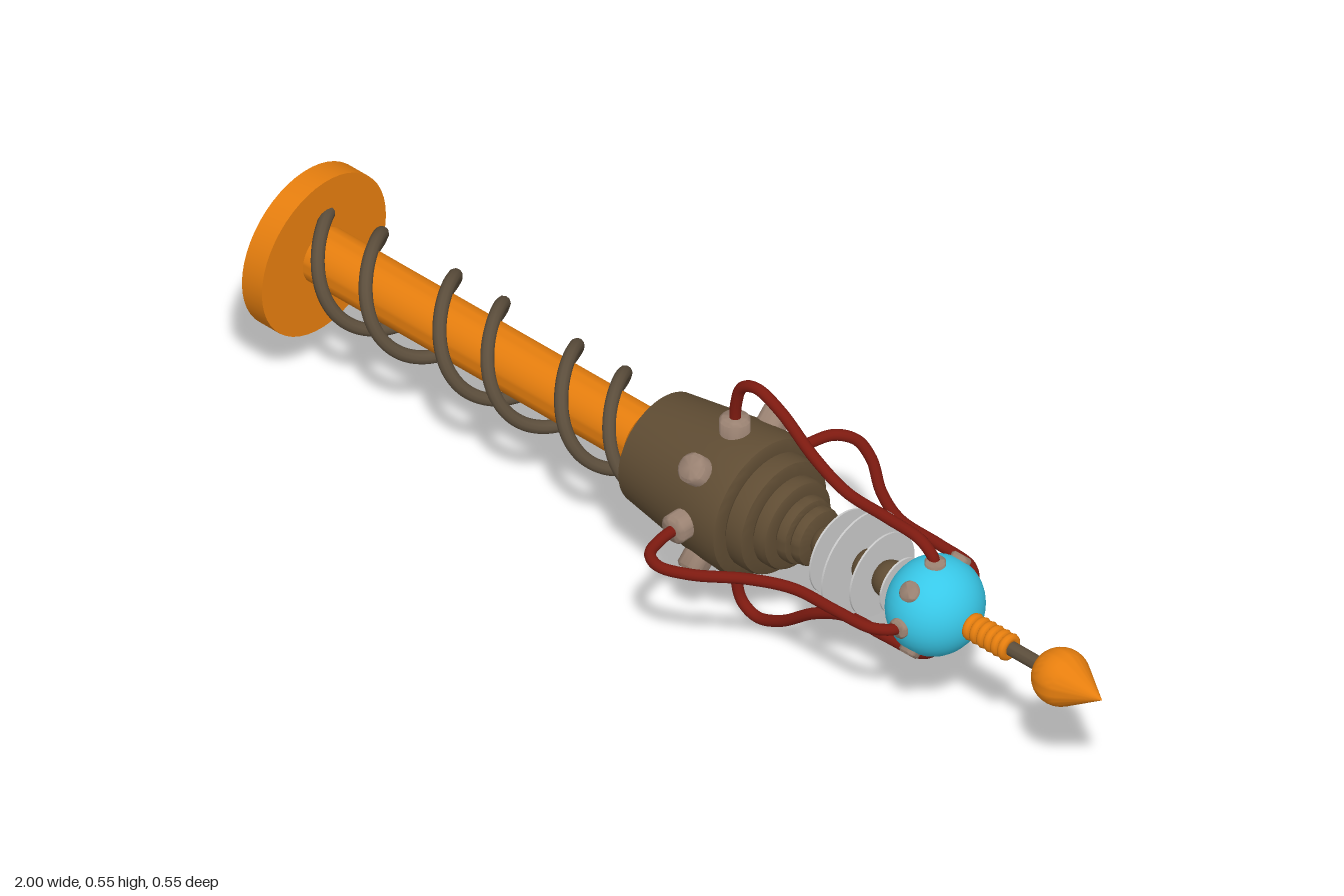
import * as THREE from 'three';
import { toCreasedNormals } from 'three/addons/utils/BufferGeometryUtils.js';

const mat = (color) => new THREE.MeshStandardMaterial({ color });
const ORANGE = mat(0xe67e0e), BROWN = mat(0x5f4c33), COIL = mat(0x5c4e3c);
const STUD = mat(0x9a8272), CYAN = mat(0x38c8e8), RED = mat(0x7d1a10), GREY = mat(0xcccccc);

export function createModel() {
  const model = new THREE.Group();
  // Everything is built along local y, which lies along the model's +x
  const axis = new THREE.Group();
  axis.name = 'wand';
  axis.rotation.z = -Math.PI / 2;
  axis.position.y = 0.277;
  model.add(axis);

  const add = (name, geometry, material, parent = axis) => {
    const mesh = new THREE.Mesh(geometry, material);
    mesh.name = name;
    parent.add(mesh);
    return mesh;
  };
  // Turned part from [radius, station] pairs
  const turned = (name, profile, material, crease = 0.5) => {
    const pts = profile.map(([r, s]) => new THREE.Vector2(r, s));
    return add(name, toCreasedNormals(new THREE.LatheGeometry(pts, 48), crease), material);
  };
  const rod = (name, r, from, to, material) =>
    turned(name, [[0, from], [r, from], [r, to], [0, to]], material);

  // Handle: pommel disc, shaft and collar
  rod('pommelDisc', 0.165, -1, -0.95, ORANGE);
  rod('shaft', 0.056, -0.95, -0.1, ORANGE);
  turned('collar', [[0, -0.142], [0.062, -0.142], [0.074, -0.13], [0.08, -0.105], [0, -0.1]], ORANGE);

  // Two coils wound the same way round the shaft
  const pitch = 0.305, coilRadius = 0.087;
  for (const start of [-0.945, -0.825]) {
    const points = [];
    for (let i = 0; i <= 80; i++) {
      const s = -0.955 + (0.855 * i) / 80;
      const t = ((s - start) / pitch) * Math.PI * 2;
      points.push(new THREE.Vector3(-Math.cos(t) * coilRadius, s, Math.sin(t) * coilRadius));
    }
    add('coil', new THREE.TubeGeometry(new THREE.CatmullRomCurve3(points), 200, 0.013, 10), COIL);
  }

  // Housing tapering forward in rounded steps
  const housing = [[0, -0.107], [0.112, -0.107], [0.137, 0.06], [0.142, 0.145], [0.138, 0.156], [0.13, 0.16]];
  for (const [r, end] of [[0.116, 0.205], [0.09, 0.24], [0.067, 0.268], [0.058, 0.295]]) {
    const begin = housing[housing.length - 1][1];
    housing.push([r - 0.006, begin], [r, begin + 0.006], [r, end - 0.01], [r - 0.003, end - 0.003], [r - 0.01, end]);
  }
  housing.push([0, 0.295]);
  turned('housing', housing, BROWN, 0.7);

  // Beaded insulator with thin discs
  rod('insulatorCore', 0.022, 0.28, 0.52, BROWN);
  for (const s of [0.32, 0.372, 0.422, 0.472]) {
    add('insulatorBead', new THREE.SphereGeometry(0.037, 24, 16), BROWN).position.y = s;
  }
  for (const [s, r] of [[0.347, 0.085], [0.397, 0.106], [0.448, 0.085], [0.496, 0.056]]) {
    rod('insulatorDisc', r, s - 0.002, s + 0.002, GREY);
  }

  // Energy bulb
  const bulb = add('bulb', new THREE.SphereGeometry(0.096, 32, 24), CYAN);
  bulb.position.y = 0.582;
  bulb.scale.y = 0.93;

  // Rings of eight radial studs on the housing and the bulb
  const studRing = (name, station, r, inner, outer) => {
    const b = r * 0.2;
    const profile = [[0, inner], [r, inner], [r, outer - b], [r - b, outer], [0, outer]]
      .map(([x, y]) => new THREE.Vector2(x, y));
    const geometry = toCreasedNormals(new THREE.LatheGeometry(profile, 20), 0.9);
    for (let i = 0; i < 8; i++) {
      const holder = new THREE.Group();
      holder.rotation.y = (i * Math.PI) / 4;
      holder.position.y = station;
      axis.add(holder);
      add(name, geometry, STUD, holder).rotation.z = -Math.PI / 2;
    }
  };
  studRing('housingStud', 0.08, 0.029, 0.11, 0.169);
  studRing('bulbStud', 0.582, 0.02, 0.07, 0.104);

  // Four cables bowing from housing studs to bulb studs
  const path = [[0.08, 0.15], [0.083, 0.2], [0.098, 0.245], [0.135, 0.262], [0.195, 0.24], [0.28, 0.178],
    [0.36, 0.142], [0.46, 0.137], [0.545, 0.13], [0.577, 0.106], [0.582, 0.085]];
  const cablePath = new THREE.CatmullRomCurve3(path.map(([s, r]) => new THREE.Vector3(r, s, 0)));
  const cable = new THREE.TubeGeometry(cablePath, 80, 0.011, 12);
  for (let i = 0; i < 4; i++) add('cable', cable, RED).rotation.y = (i * Math.PI) / 2;

  // Ribbed neck, thin rod and pointed finial
  rod('neckCore', 0.019, 0.65, 0.77, ORANGE);
  for (let i = 0; i < 6; i++) {
    const ring = add('neckRib', new THREE.TorusGeometry(0.018, 0.009, 10, 28), ORANGE);
    ring.rotation.x = Math.PI / 2;
    ring.position.y = 0.678 + i * 0.0175;
  }
  rod('tipRod', 0.014, 0.76, 0.86, COIL);
  const tip = [];
  for (let i = 0; i <= 12; i++) {
    const a = (i / 12) * 2.15;
    tip.push([Math.sin(a) * 0.055, 0.897 - Math.cos(a) * 0.055]);
  }
  tip.push([0, 1]);
  turned('finial', tip, ORANGE, 0.6);

  return model;
}
